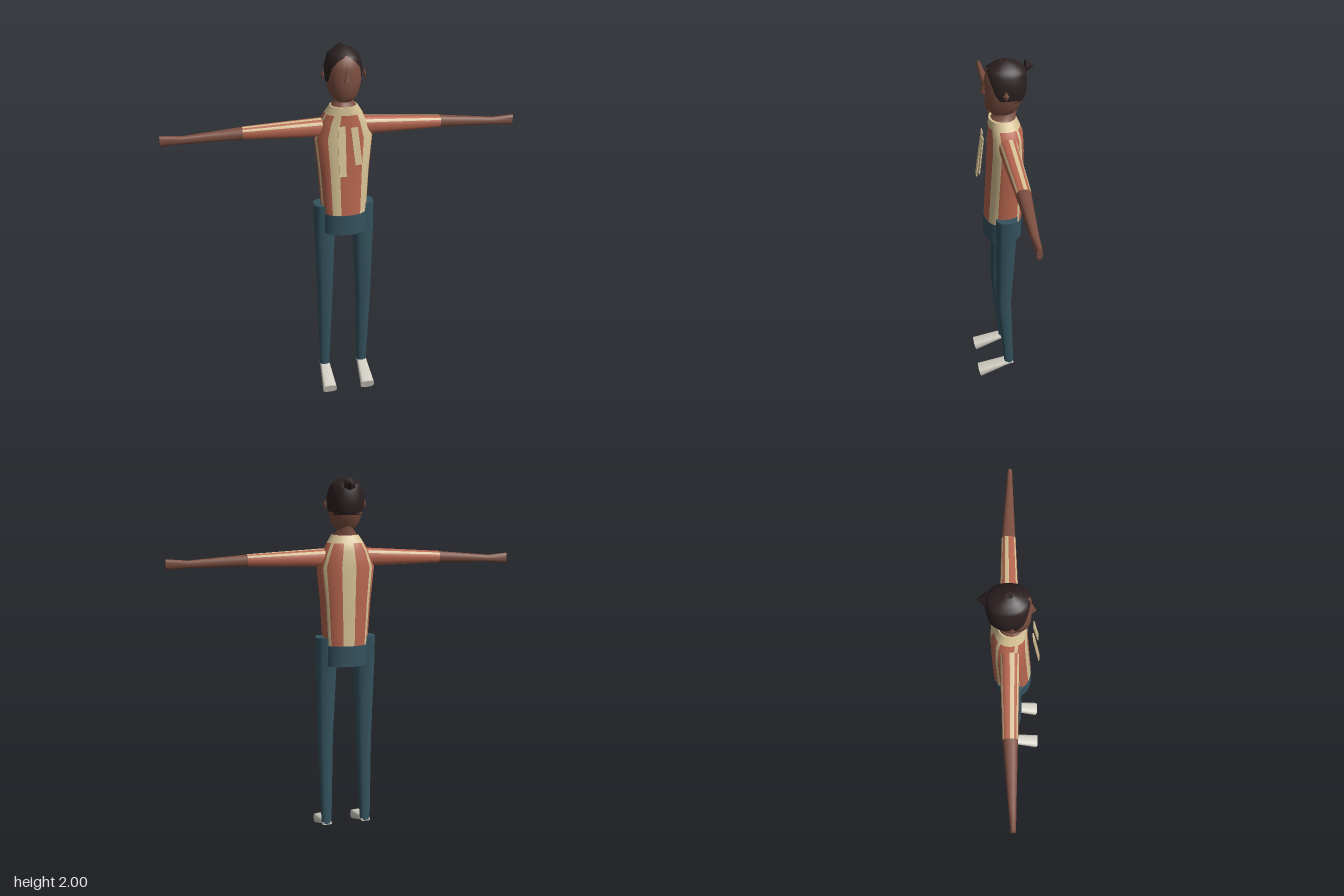
import * as THREE from 'three';

const mat = (name, color, side = THREE.FrontSide) => {
  const m = new THREE.MeshStandardMaterial({ color, side });
  m.name = name;
  return m;
};

// Loft: point(i, j) gives ring i, column j. colour(i, j) picks a material index.
function loft(rings, cols, point, { closed = true, caps = true, colour = () => 0 } = {}) {
  const pos = [], buckets = [[], []];
  const width = closed ? cols : cols + 1;
  for (let i = 0; i < rings; i++)
    for (let j = 0; j < width; j++) pos.push(...point(i, j));
  const id = (i, j) => i * width + (j % width);
  for (let i = 0; i < rings - 1; i++)
    for (let j = 0; j < cols; j++) {
      const a = id(i, j), b = id(i, j + 1), c = id(i + 1, j + 1), d = id(i + 1, j);
      buckets[colour(i, j)].push(a, b, c, a, c, d);
    }
  if (caps) {
    for (const i of [0, rings - 1]) {
      const base = pos.length / 3, mid = [0, 0, 0];
      for (let j = 0; j < cols; j++) {
        const p = point(i, j);
        pos.push(...p);
        p.forEach((v, k) => { mid[k] += v / cols; });
      }
      pos.push(...mid);
      for (let j = 0; j < cols; j++) {
        const a = base + j, b = base + (j + 1) % cols, c = base + cols;
        buckets[colour(i ? i - 1 : 0, j)].push(...(i ? [a, b, c] : [b, a, c]));
      }
    }
  }
  const g = new THREE.BufferGeometry();
  g.setAttribute('position', new THREE.Float32BufferAttribute(pos, 3));
  g.setIndex([...buckets[0], ...buckets[1]]);
  g.addGroup(0, buckets[0].length, 0);
  if (buckets[1].length) g.addGroup(buckets[0].length, buckets[1].length, 1);
  g.computeVertexNormals();
  return g;
}

// Rounded-off cosine and sine for slightly boxy sections
const soft = (v, p) => Math.sign(v) * Math.abs(v) ** p;

// Horizontal ring point; section is [y, centreX, halfWidth, frontZ, backZ]
function ringPoint([y, cx, hw, zf, zb], a, p = 1) {
  return [
    cx + hw * soft(Math.sin(a), p), y,
    (zf + zb) / 2 + (zf - zb) / 2 * soft(Math.cos(a), p),
  ];
}

const upright = (secs, cols, p, opts) =>
  loft(secs.length, cols, (i, j) => ringPoint(secs[i], j / cols * Math.PI * 2, p), opts);

const HEAD = [
  [1.73, 0, 0.04, 0.05, -0.06], [1.765, 0, 0.072, 0.082, -0.085],
  [1.83, 0, 0.09, 0.085, -0.115], [1.9, 0, 0.094, 0.085, -0.12],
  [1.955, 0, 0.078, 0.075, -0.112], [1.985, 0, 0.045, 0.035, -0.07],
  [1.996, 0, 0.012, 0.005, -0.03],
];

// Head section at any height
function headSection(y) {
  let k = 0;
  while (k < HEAD.length - 2 && y > HEAD[k + 1][0]) k++;
  const t = Math.min(1, (y - HEAD[k][0]) / (HEAD[k + 1][0] - HEAD[k][0]));
  return HEAD[k].map((v, n) => v + (HEAD[k + 1][n] - v) * t);
}

export function createModel() {
  const skin = mat('brown skin', 0x7c4f40);
  const rust = mat('rust shirt', 0xb8664f);
  const cream = mat('cream stripe', 0xd8c395);
  const teal = mat('teal trousers', 0x34525e);
  const hairMat = mat('dark hair', 0x2c2021, THREE.DoubleSide);
  const shoe = mat('pale shoe', 0xd3cfc5);

  const model = new THREE.Group();
  const add = (name, geo, material) => {
    const m = new THREE.Mesh(geo, material);
    m.name = name;
    model.add(m);
    return m;
  };

  // Striped shirt with a plain collar
  const stripes = new Set([3, 4, 5, 11, 15, 16, 20, 25, 29, 30]);
  add('shirt', upright([
    [1.12, 0, 0.122, 0.095, -0.105], [1.36, 0, 0.137, 0.082, -0.108],
    [1.54, 0, 0.155, 0.072, -0.108], [1.625, 0, 0.122, 0.068, -0.105],
    [1.665, 0, 0.098, 0.068, -0.09], [1.705, 0, 0.072, 0.065, -0.072],
  ], 32, 0.85, { colour: (i, j) => (i > 3 || stripes.has(j) ? 1 : 0) }), [rust, cream]);

  // Trouser waist
  add('waist', upright([
    [1.008, 0, 0.124, 0.1, -0.105], [1.121, 0, 0.124, 0.097, -0.106],
  ], 24, 0.85), teal);

  // Neck and head
  add('neck', upright([
    [1.7, 0, 0.07, 0.06, -0.07], [1.735, 0, 0.04, 0.025, -0.075], [1.78, 0, 0.04, 0.025, -0.075],
  ], 16, 1), skin);
  add('head', upright(HEAD, 24, 0.9), skin);

  // Hair shell; each row is [height, angle of the hairline from the front]
  const hairRows = [
    [1.805, 1.9], [1.825, 1.25], [1.86, 0.98], [1.9, 0.8], [1.935, 0.5],
    [1.955, 0.15], [1.965, 0], [1.985, 0], [1.996, 0],
  ];
  add('hair', loft(hairRows.length, 28, (i, j) => {
    const [y, a0] = hairRows[i];
    const p = ringPoint(headSection(y), a0 + j / 28 * (Math.PI * 2 - 2 * a0), 0.9);
    return [p[0] * 1.025, y + 0.004, (p[2] + 0.015) * 1.025 - 0.015];
  }, { closed: false, caps: false }), hairMat);
  add('hairCrown', new THREE.CircleGeometry(0.016, 12).rotateX(-Math.PI / 2)
    .translate(0, 2, -0.0125), hairMat);

  // Pointed hair knot
  add('hairKnot', new THREE.ConeGeometry(0.034, 0.042, 6).rotateX(-Math.PI / 2)
    .translate(0, 1.963, -0.134), hairMat);

  // Nose
  add('nose', upright([
    [1.835, 0, 0.014, 0.1, 0.06], [1.85, 0, 0.013, 0.105, 0.06], [1.91, 0, 0.006, 0.086, 0.06],
  ], 4, 1), skin);

  for (const s of [1, -1]) {
    const side = s > 0 ? 'left' : 'right';

    // Ear
    add(side + 'Ear', new THREE.OctahedronGeometry(1).scale(0.009, 0.027, 0.015)
      .translate(s * 0.107, 1.862, -0.005), skin);

    // Arm; section is [x, bottomY, topY, backZ, frontZ]
    const arm = (secs, opts) => loft(secs.length, 16, (i, j) => {
      const [x, y0, y1, z0, z1] = secs[i], a = j / 16 * Math.PI * 2;
      return [
        s * x, (y0 + y1) / 2 + (y1 - y0) / 2 * soft(Math.cos(a), 0.8),
        (z0 + z1) / 2 + s * (z1 - z0) / 2 * soft(Math.sin(a), 0.8),
      ];
    }, opts);
    const bands = new Set([2, 7, 8, 13, 15]);
    add(side + 'Sleeve', arm([
      [0.09, 1.54, 1.638, -0.064, 0.032], [0.3, 1.545, 1.626, -0.059, 0.026],
      [0.52, 1.55, 1.613, -0.053, 0.019],
    ], { colour: (i, j) => (bands.has(j) ? 1 : 0) }), [rust, cream]);
    add(side + 'Forearm', arm([
      [0.515, 1.551, 1.612, -0.052, 0.018], [0.82, 1.547, 1.586, -0.028, 0.008],
      [0.93, 1.54, 1.595, -0.02, 0.005],
    ]), skin);

    // Leg
    add(side + 'Leg', upright([
      [0.085, s * 0.113, 0.028, 0.0, -0.055], [0.58, s * 0.111, 0.042, 0.047, -0.037],
      [1.0, s * 0.107, 0.057, 0.047, -0.06], [1.162, s * 0.108, 0.057, 0.048, -0.068],
    ], 16, 0.75), teal);

    // Shoe, sloping down to the toe; section is [z, centreY, halfWidth, halfHeight]
    const shoeSecs = [
      [-0.052, 0.086, 0.027, 0.008], [-0.01, 0.084, 0.03, 0.016], [0.155, 0.03, 0.041, 0.028],
    ];
    add(side + 'Shoe', loft(3, 12, (i, j) => {
      const [z, cy, rx, ry] = shoeSecs[i], a = j / 12 * Math.PI * 2;
      const up = soft(Math.sin(a), 0.55);
      return [s * 0.113 + rx * soft(Math.cos(a), 0.55), cy + ry * up, z + (i === 2 ? 0.008 * up : 0)];
    }), shoe);
  }

  // Loose scarf ends hanging in front of the chest
  for (const [name, x, y, w, h, roll] of [
    ['rightScarfEnd', -0.029, 1.49, 0.038, 0.26, 0],
    ['leftScarfEnd', 0.045, 1.517, 0.036, 0.195, 0.1],
  ]) {
    const flap = add(name, new THREE.BoxGeometry(w, h, 0.006), cream);
    flap.position.set(x, y, 0.113);
    flap.rotation.set(-0.13, 0, roll);
  }

  return model;
}
